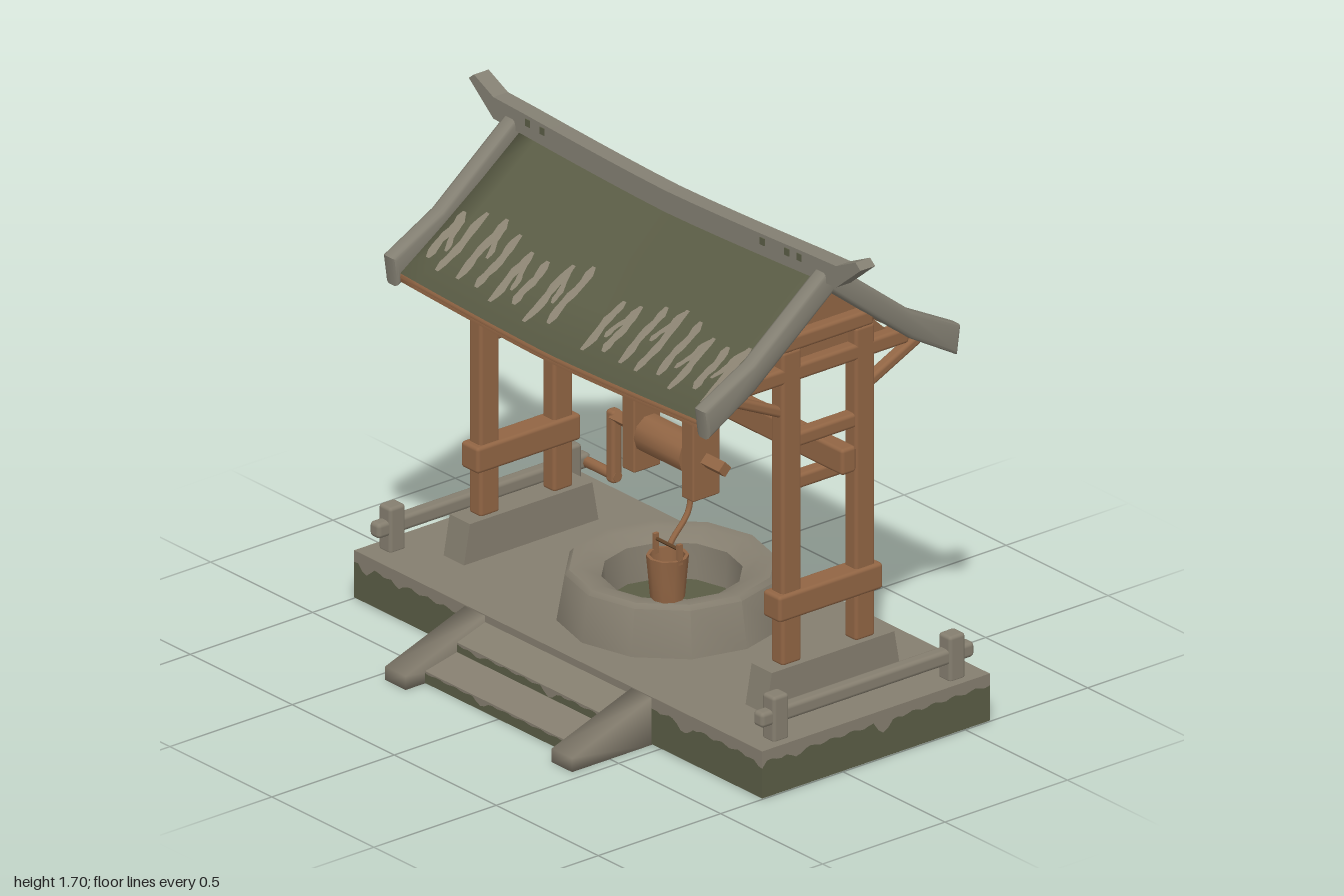
import * as THREE from 'three';
import { toCreasedNormals } from 'three/addons/utils/BufferGeometryUtils.js';
import { RoundedBoxGeometry } from 'three/addons/geometries/RoundedBoxGeometry.js';

const mat = (name, color, side = THREE.FrontSide) => {
  const m = new THREE.MeshStandardMaterial({ color, side });
  m.name = name;
  return m;
};

export function createModel() {
  const stone = mat('stone', 0x857e6f, THREE.DoubleSide);
  const ridgeGrey = mat('weathered grey', 0x837f72);
  const moss = mat('moss', 0x5a5c45, THREE.DoubleSide);
  const streak = mat('lichen', 0x8c8473, THREE.DoubleSide);
  const wood = mat('wood', 0x916544);
  const darkWood = mat('dark wood', 0x634429);
  const oldWood = mat('bleached wood', 0x84857c);

  const model = new THREE.Group();
  const well = new THREE.Group(); // everything is symmetric about this centre line
  well.name = 'coveredWell';
  well.position.z = -0.135;
  model.add(well);

  const add = (name, geo, material, x = 0, y = 0, z = 0, parent = well) => {
    const m = new THREE.Mesh(geo, material);
    m.name = name;
    m.position.set(x, y, z);
    parent.add(m);
    return m;
  };
  const box = (name, w, h, d, material, x, y, z) =>
    add(name, new THREE.BoxGeometry(w, h, d), material, x, y, z);
  const timber = (name, w, h, d, x, y, z, material = wood, r = 0.012) =>
    add(name, new RoundedBoxGeometry(w, h, d, 2, r), material, x, y, z);
  const rod = (name, r, len, material, x, y, z, sides = 8) => // lies along x
    add(name, toCreasedNormals(new THREE.CylinderGeometry(r, r, len, sides).rotateZ(Math.PI / 2), 0.9),
      material, x, y, z);
  const shapeOf = (pts) => new THREE.Shape(pts.map(([x, y]) => new THREE.Vector2(x, y)));
  // Extrude a [z, y] outline across the x direction, with optional chamfered edges
  const acrossX = (name, pts, width, material, x, bevel = 0, crease = 0.8) => {
    const g = new THREE.ExtrudeGeometry(shapeOf(pts), {
      depth: width - 2 * bevel, bevelEnabled: bevel > 0, bevelSize: bevel, bevelThickness: bevel,
      bevelOffset: -bevel, bevelSegments: 2,
    });
    g.rotateY(-Math.PI / 2).translate(width / 2 - bevel, 0, 0);
    return add(name, toCreasedNormals(g, crease), material, x);
  };

  // Upright stone sheet whose lower part is moss up to a wavering, dripping line
  const mossyWall = (name, width, seed, x, z, turn, y0 = 0.008, yMoss = 0.13, y1 = 0.17, drop = 0.03) => {
    const line = [];
    const n = Math.round(width * 50);
    for (let i = n; i >= 0; i--) {
      const t = i * 0.55 + seed;
      const drip = Math.max(0, Math.sin(t * 1.3) + Math.sin(t * 0.47) - 0.8) * drop;
      line.push([(i / n - 0.5) * width, yMoss + drop * 0.17 * Math.sin(t * 2.7) - drip]);
    }
    const w = width / 2;
    const lower = new THREE.ShapeGeometry(shapeOf([[-w, y0], [w, y0], ...line]));
    const upper = new THREE.ShapeGeometry(shapeOf([...line.reverse(), [w, y1], [-w, y1]]));
    add(name + 'Moss', lower, moss, x, 0, z).rotation.y = turn;
    add(name, upper, stone, x, 0, z).rotation.y = turn;
  };

  // Plinth: a hollow shell, open below
  add('plinthTop', new THREE.PlaneGeometry(2, 0.93).rotateX(-Math.PI / 2), stone, 0, 0.17, 0);
  mossyWall('plinthFront', 2, 0, 0, 0.465, 0);
  mossyWall('plinthBack', 2, 5, 0, -0.465, Math.PI);
  mossyWall('plinthLeft', 0.93, 2, 1, 0, Math.PI / 2);
  mossyWall('plinthRight', 0.93, 9, -1, 0, -Math.PI / 2);

  // Worn, sloping steps between two cheeks
  const tread = (z0, y0, z1, y1) => {
    const g = new THREE.PlaneGeometry(0.73, Math.hypot(z1 - z0, y1 - y0));
    g.rotateX(Math.atan2(y0 - y1, z1 - z0) - Math.PI / 2);
    add('stepTread', g, stone, 0, (y0 + y1) / 2, (z0 + z1) / 2);
  };
  tread(0.465, 0.145, 0.58, 0.108);
  mossyWall('upperRiser', 0.73, 3, 0, 0.58, 0, 0.01, 0.1, 0.108, 0.02);
  tread(0.58, 0.075, 0.71, 0.047);
  mossyWall('lowerRiser', 0.73, 8, 0, 0.71, 0, 0.006, 0.04, 0.047, 0.015);
  for (const s of [-1, 1])
    acrossX('stepCheek', [[0.46, 0.005], [0.79, 0.005], [0.79, 0.052], [0.46, 0.168]], 0.1, stone, s * 0.408, 0, 2);

  // Well ring and its floor
  const ring = [[0.37, 0.16], [0.342, 0.325], [0.328, 0.34], [0.285, 0.34], [0.225, 0.31], [0.215, 0.16]]
    .map(([r, y]) => new THREE.Vector2(r, y));
  add('wellRing', toCreasedNormals(new THREE.LatheGeometry(ring, 12), 0.7), stone);
  add('wellFloor', new THREE.CircleGeometry(0.22, 12).rotateX(-Math.PI / 2), moss, 0, 0.19);

  // End frames, gables and low rails, mirrored
  const gable = shapeOf([[-0.31, 1.28], [0.31, 1.28], [0.03, 1.54], [-0.03, 1.54]]);
  for (const s of [-1, 1]) {
    const x = s * 0.74;
    acrossX('frameFoot', [[-0.275, 0.168], [0.275, 0.168], [0.25, 0.305], [-0.25, 0.305]], 0.1, stone, x);
    for (const f of [-1, 1]) {
      timber('framePost', 0.06, 1.08, 0.08, x, 0.84, f * 0.15);
      timber('eaveBrace', 0.04, 0.035, 0.23, x, 1.215, f * 0.28).rotation.x = -f * 0.44;
      timber('railPost', 0.06, 0.16, 0.065, s * 0.94, 0.242, f * 0.36, stone);
    }
    timber('lowCrossbar', 0.085, 0.09, 0.425, x, 0.505, 0);
    timber('midCrossbar', 0.05, 0.05, 0.24, x, 0.915, 0);
    timber('highCrossbar', 0.05, 0.05, 0.24, x, 1.06, 0);
    timber('lowerTie', 0.06, 0.055, 0.66, x, 1.295, 0);
    timber('upperTie', 0.06, 0.055, 0.37, x, 1.4, 0);
    add('gablePanel', new THREE.ShapeGeometry(gable), wood, s * 0.73).rotation.y = s * Math.PI / 2;
    timber('sideRail', 0.048, 0.052, 0.87, s * 0.94, 0.25, 0, stone, 0.014);
  }

  // Roof: height falls along d from the ridge and sags towards the middle
  const sag = (x) => -0.03 * (1 - Math.min(1, Math.abs(x / 0.8) ** 1.4));
  const roofY = (x, d) => 1.585 - 0.78 * d + 0.14 * d * d + sag(x);
  const drape = (geo, lift) => { // x stays, -y becomes distance from the ridge, z adds height
    const p = geo.attributes.position;
    for (let i = 0; i < p.count; i++) {
      const x = p.getX(i), d = -p.getY(i);
      p.setXYZ(i, x, roofY(x, d) + p.getZ(i) + lift, d);
    }
    geo.computeVertexNormals();
    return geo;
  };
  const slope = () => toCreasedNormals(
    drape(new THREE.BoxGeometry(1.5, 0.5, 0.028, 16, 3, 1).translate(0, -0.25, 0), -0.014), 1.8);
  const slopeSkins = [wood, wood, moss, wood, moss, darkWood];
  const streakXs = [0.1, 0.18, 0.27, 0.355, 0.44, 0.53, 0.615, 0.69];
  // A wavering run of lichen from [x0, d0] down to [x1, d1]
  const ribbon = (x0, d0, x1, d1, w, seed) => {
    const left = [], right = [], n = 8;
    for (let i = 0; i <= n; i++) {
      const c = x0 + (x1 - x0) * i / n + 0.004 * Math.sin(i * 1.1 + seed);
      const half = w * (i === 0 || i === n ? 0.45 : 0.95 + 0.15 * Math.sin(i * 2.3 + seed));
      const d = -(d0 + (d1 - d0) * i / n);
      left.push([c - half, d]);
      right.unshift([c + half, d]);
    }
    return drape(new THREE.ShapeGeometry(shapeOf([...left, ...right])), 0.005);
  };
  for (const turn of [0, Math.PI]) {
    const half = new THREE.Group();
    half.name = turn ? 'backRoof' : 'frontRoof';
    half.rotation.y = turn;
    well.add(half);
    add('roofSlope', slope(), slopeSkins, 0, 0, 0, half);
    const eave = [-0.74, -0.37, 0, 0.37, 0.74].map((x) => new THREE.Vector3(x, roofY(x, 0.49) - 0.02, 0.485));
    add('eavePole', new THREE.TubeGeometry(new THREE.CatmullRomCurve3(eave), 16, 0.017, 6), wood, 0, 0, 0, half);
    // Long lichen runs, every other one arched over to a second leg
    [-1, 1].forEach((s) => streakXs.forEach((sx, i) => {
      const seed = i * 2.7 + s + turn;
      const top = 0.255 + 0.025 * Math.sin(seed * 1.9);
      const low = 0.44 + 0.015 * Math.sin(seed);
      const x = s * sx;
      add('lichenRun', ribbon(x, top, x, low, 0.017, seed), streak, 0, 0, 0, half);
      if (i % 2) add('lichenLeg', ribbon(x - s * 0.005, top + 0.01, x - s * 0.042, top + 0.12, 0.012, seed + 1),
        streak, 0, 0, 0, half);
    }));
  }

  // Barge boards along the gable edges
  const bargeHalf = [[0.325, 1.385], [0.525, 1.28], [0.51, 1.18], [0.32, 1.29]];
  const barge = [[0, 1.64], ...bargeHalf, [0, 1.54], ...bargeHalf.map(([z, y]) => [-z, y]).reverse()];
  for (const s of [-1, 1]) acrossX('bargeBoard', barge, 0.06, ridgeGrey, s * 0.762, 0.014);

  // Sagging ridge beam with upturned tips and a few tufts of moss
  const top = [], bottom = [];
  for (let i = -6; i <= 6; i++) {
    const x = i * 0.14;
    top.push([x, 1.66 + sag(x)]);
    bottom.unshift([x, 1.586 + sag(x)]);
  }
  const ridge = [[-0.96, 1.685], [-0.935, 1.705], ...top, [0.935, 1.705], [0.96, 1.685], ...bottom];
  add('ridgeBeam', new THREE.ExtrudeGeometry(shapeOf(ridge), { depth: 0.06, bevelEnabled: false }), ridgeGrey, 0, 0, -0.03);
  for (const x of [-0.67, -0.6, 0.48, 0.6, 0.66])
    box('ridgeMoss', 0.022, 0.024, 0.066, moss, x, 1.636 + sag(x), 0);

  // Long beam and the hangers that carry the winch
  timber('longBeam', 1.76, 0.09, 0.06, -0.01, 0.99, 0);
  for (const x of [-0.15, 0.14]) {
    timber('winchHanger', 0.06, 0.46, 0.11, x, 0.85, 0, wood, 0.006);
    box('hangerBleaching', 0.058, 0.1, 0.006, oldWood, x, 1.03, 0.054);
    box('hangerTopFront', 0.06, 0.39, 0.055, oldWood, x, 1.265, 0.0275);
    box('hangerTopBack', 0.06, 0.39, 0.055, wood, x, 1.265, -0.0275);
  }

  // Winch drum, axle and crank
  rod('winchDrum', 0.065, 0.22, wood, 0, 0.748, 0, 10);
  rod('winchAxle', 0.026, 0.54, wood, -0.01, 0.75, 0, 4);
  timber('crankArm', 0.04, 0.25, 0.04, -0.285, 0.645, 0);
  rod('crankHandle', 0.018, 0.15, wood, -0.34, 0.543, 0);

  // Rope and bucket on the rim
  const rope = [[0.085, 0.69, 0], [0.095, 0.56, 0.01], [0.115, 0.46, 0.11], [0.14, 0.35, 0.14]]
    .map((p) => new THREE.Vector3(...p));
  add('rope', new THREE.TubeGeometry(new THREE.CatmullRomCurve3(rope), 16, 0.01, 6), wood);
  const pail = [[0, 0], [0.055, 0], [0.068, 0.145], [0.057, 0.145], [0.047, 0.02], [0, 0.02]]
    .map(([r, y]) => new THREE.Vector2(r, y));
  add('bucket', toCreasedNormals(new THREE.LatheGeometry(pail, 10), 0.7), wood, 0.2, 0.346, 0.185);
  for (const s of [-1, 1]) box('bucketEar', 0.012, 0.07, 0.018, wood, 0.2 + s * 0.058, 0.51, 0.185);
  rod('bucketHandle', 0.006, 0.125, darkWood, 0.2, 0.527, 0.185, 6);

  return model;
}
